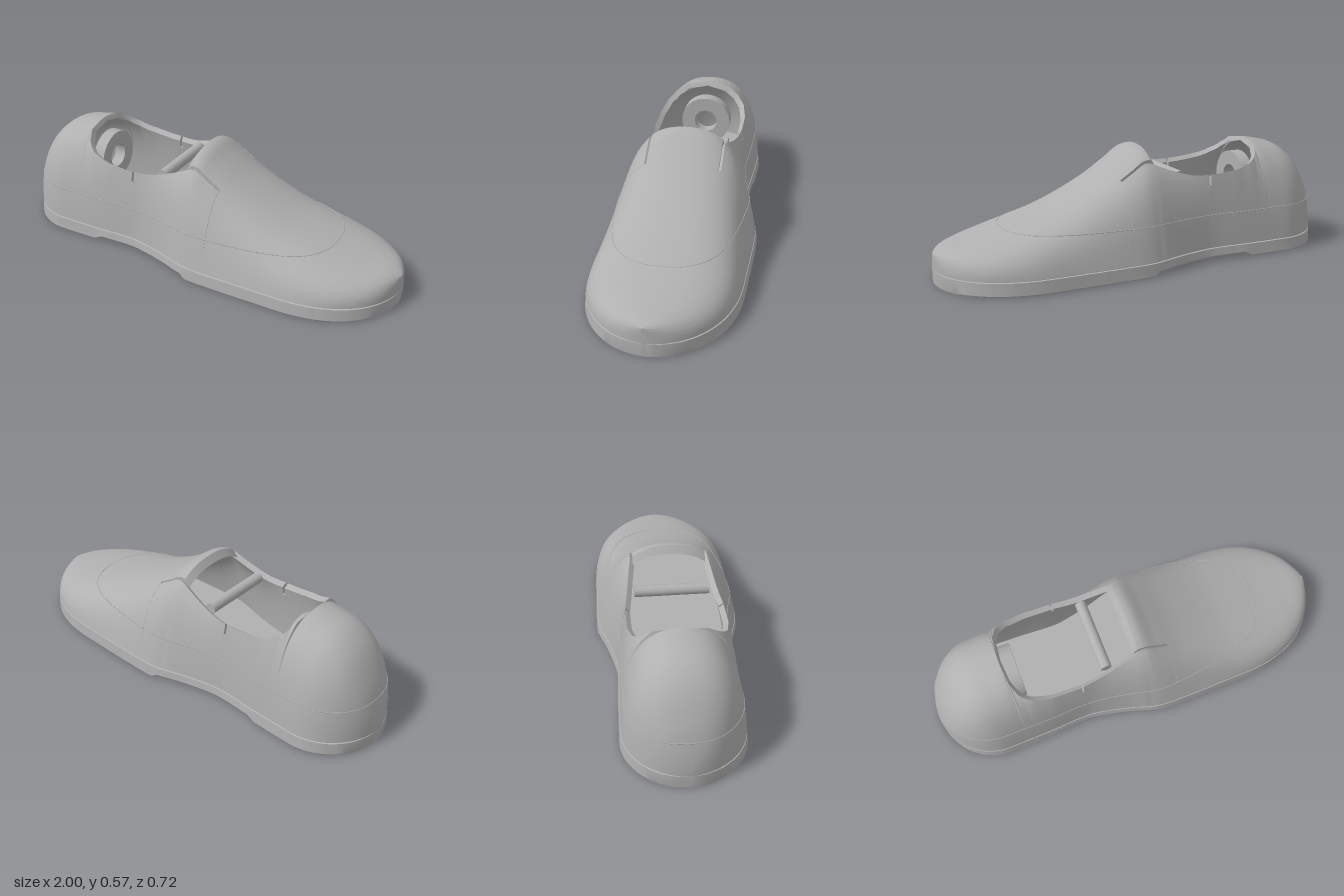
import * as THREE from 'three';
import { mergeGeometries, toCreasedNormals } from 'three/addons/utils/BufferGeometryUtils.js';

const BASE = 0.07; // height where the upper meets the sole

// Linear and smooth lookup in [x, value] tables
function linear(table, x) {
  let i = 0;
  while (i < table.length - 2 && x > table[i + 1][0]) i++;
  const [x0, a] = table[i], [x1, b] = table[i + 1];
  return a + (b - a) * THREE.MathUtils.clamp((x - x0) / (x1 - x0), 0, 1);
}
function smooth(table, x) {
  let i = 0;
  while (i < table.length - 2 && x > table[i + 1][0]) i++;
  const slope = (k) => {
    const p = table[Math.max(k - 1, 0)], q = table[Math.min(k + 1, table.length - 1)];
    return (q[1] - p[1]) / (q[0] - p[0]);
  };
  const [x0, a] = table[i], [x1, b] = table[i + 1], d = x1 - x0;
  const t = THREE.MathUtils.clamp((x - x0) / d, 0, 1), t2 = t * t, t3 = t2 * t;
  return (2 * t3 - 3 * t2 + 1) * a + (t3 - 2 * t2 + t) * d * slope(i)
    + (3 * t2 - 2 * t3) * b + (t3 - t2) * d * slope(i + 1);
}

// Shoe measurements along its length (heel at -1, toe at +1)
const WIDTH = [[-1, 0.285], [-0.72, 0.285], [-0.5, 0.28], [-0.3, 0.272], [-0.2, 0.288], [-0.1, 0.312], [0.05, 0.356], [0.2, 0.362], [0.5, 0.358], [1, 0.355]];
const CROWN = [[-1, 0.09], [-0.99, 0.16], [-0.97, 0.24], [-0.95, 0.3], [-0.9, 0.4], [-0.85, 0.465], [-0.78, 0.515], [-0.7, 0.537], [-0.62, 0.55],
  [0.01, 0.566], [0.1, 0.505], [0.2, 0.435], [0.3, 0.378], [0.4, 0.328], [0.5, 0.287], [0.7, 0.226], [0.85, 0.19], [0.95, 0.168], [1, 0.145]];
const RIM_Z = [[-1, 0], [-0.62, 0], [-0.612, 0.12], [-0.59, 0.17], [-0.55, 0.205], [-0.45, 0.225], [-0.3, 0.225], [-0.1, 0.2], [0, 0.185], [0.15, 0.185], [0.151, 0], [1, 0]];
const RIM_Y = [[-0.62, 0.55], [-0.6, 0.51], [-0.57, 0.477], [-0.5, 0.446], [-0.4, 0.43], [-0.3, 0.424], [-0.2, 0.43], [-0.1, 0.46], [0, 0.5]];
const SIDE = [[-1, 0.93], [-0.3, 0.92], [-0.1, 0.87], [0, 0.82], [0.3, 0.85], [0.8, 0.98], [1, 1]];
const ARCH = [[-1, 0], [-0.52, 0], [-0.48, 0.021], [0.03, 0.021], [0.06, 0], [1, 0]];

function halfWidth(x) {
  let f = 1;
  if (x < -0.72) f = Math.sqrt(Math.max(0, 1 - ((-0.72 - x) / 0.28) ** 2));
  if (x > 0.5) f = Math.sqrt(Math.max(0, 1 - ((x - 0.5) / 0.5) ** 2.4));
  return smooth(WIDTH, x) * f;
}

// Domed cross-section: t = 0 at the sole, t = 1 on the centre line
function dome(x, t) {
  const w = Math.max(0, halfWidth(x) - 0.008), h = smooth(CROWN, x), s = 1 - t;
  const b = [s * s * s, 3 * s * s * t, 3 * s * t * t, t * t * t];
  return {
    z: b[0] * w + b[1] * w * linear(SIDE, x) + b[2] * w * 0.72,
    y: b[0] * BASE + b[1] * (BASE + 0.62 * (h - BASE)) + (b[2] + b[3]) * h,
  };
}
function bisect(test) {
  let a = 0, b = 1;
  for (let i = 0; i < 30; i++) {
    const m = (a + b) / 2;
    if (test(m)) a = m; else b = m;
  }
  return (a + b) / 2;
}
const domeAtZ = (x, z) => (z <= 0 ? 1 : bisect((t) => dome(x, t).z > z));

// The same section cut off at the foot opening and fitted to the rim height
function section(x) {
  const end = domeAtZ(x, linear(RIM_Z, x));
  const open = x >= -0.62 && x <= 0;
  const k = open ? (smooth(RIM_Y, x) - BASE) / (dome(x, end).y - BASE) : 1;
  return (u) => {
    const p = dome(x, end * u);
    return { z: p.z, y: BASE + (p.y - BASE) * k };
  };
}

// Skin rows of [x, y, z] points, mirrored across z = 0
function loft(rows, crease = 0.6) {
  const n = rows[0].length;
  const sides = [1, -1].map((side) => {
    const position = [], index = [];
    rows.forEach((row) => row.forEach(([x, y, z]) => position.push(x, y, z * side)));
    for (let i = 0; i < rows.length - 1; i++) {
      for (let j = 0; j < n - 1; j++) {
        const a = i * n + j, b = a + n, c = b + 1, d = a + 1;
        if (side > 0) index.push(a, b, c, a, c, d);
        else index.push(a, c, b, a, d, c);
      }
    }
    const g = new THREE.BufferGeometry();
    g.setAttribute('position', new THREE.Float32BufferAttribute(position, 3));
    g.setIndex(index);
    return g;
  });
  const merged = mergeGeometries(sides);
  merged.computeVertexNormals();
  return toCreasedNormals(merged, crease);
}

function stations(extra) {
  const xs = [...extra];
  for (let i = 0; i <= 120; i++) xs.push(-Math.cos((Math.PI * i) / 120));
  return xs.sort((a, b) => a - b);
}

export function createModel() {
  const shoe = new THREE.Group();
  shoe.name = 'slipOnShoe';
  const grey = new THREE.MeshStandardMaterial({ color: 0xb0b0b0 });
  grey.name = 'plainGrey';
  const add = (name, geometry) => {
    const mesh = new THREE.Mesh(geometry, grey);
    mesh.name = name;
    shoe.add(mesh);
    return mesh;
  };

  // Upper: outer skin, rim and lining, with a small notch in each side of the rim
  const N = 20;
  const upperX = stations([-0.62, -0.616, -0.612, -0.605, -0.6, -0.59, -0.58, -0.57, -0.306, -0.305, -0.295, -0.294, 0, 0.15, 0.151]);
  add('upper', loft(upperX.map((x) => {
    const at = section(x), cut = Math.abs(x + 0.3) < 0.0055 ? 0.84 : 1;
    const outer = [], lining = [];
    for (let j = 0; j <= N; j++) {
      const u = (j / N) * cut, p = at(u);
      outer.push([x, p.y, p.z]);
      lining.unshift([x * 0.985, p.y - 0.018 * u, Math.max(0, p.z - 0.022)]);
    }
    return [...outer, ...lining];
  })));

  // Tongue: thick flap between the two slits
  const tongueRows = [];
  for (let i = 0; i <= 10; i++) {
    const x = -0.005 + i * 0.016, t0 = domeAtZ(x, 0.173);
    const outer = [], inner = [];
    for (let j = 0; j <= 12; j++) {
      const p = dome(x, t0 + ((1 - t0) * j) / 12);
      outer.push([x, p.y, p.z]);
      inner.push([x - 0.025, p.y - 0.035, p.z]);
    }
    const back = [...inner].reverse();
    if (i === 0) tongueRows.push([...inner, ...back, inner[0]]);
    tongueRows.push([...outer, ...back, outer[0]]);
  }
  add('tongue', loft(tongueRows));

  // Sole with a raised arch and a fine groove under the upper
  add('sole', loft(stations([-0.52, -0.48, 0.03, 0.06]).map((x) => {
    const w = halfWidth(x), y0 = linear(ARCH, x), inset = (d) => Math.max(0, w - d);
    return [[x, y0, 0], [x, y0, inset(0.004)], [x, y0 + 0.007, w], [x, 0.064, inset(0.006)],
      [x, 0.066, inset(0.014)], [x, 0.074, inset(0.014)], [x, 0.074, 0]];
  }), 0.4));

  // Insole
  add('insole', loft(stations([]).map((x) => {
    const w = Math.max(0, halfWidth(x) - 0.03);
    return [[x * 0.97, 0.074, w], [x * 0.97, 0.1, w], [x * 0.97, 0.1, 0]];
  })));

  // Seam running level around the upper and across the vamp
  const seam = [];
  for (const x of stations([-0.97, 0.68])) {
    const at = section(x);
    if (at(1).y < 0.231) continue;
    const p = at(bisect((u) => at(u).y < 0.23));
    seam.push(new THREE.Vector3(x, 0.23, p.z));
  }
  const mirrored = seam.map((p) => new THREE.Vector3(p.x, p.y, -p.z)).reverse();
  const seamPath = new THREE.CatmullRomCurve3([...seam, ...mirrored], true);
  add('seam', new THREE.TubeGeometry(seamPath, 300, 0.0025, 5, true));

  // Ring standing inside the heel
  const ringShape = new THREE.Shape().absarc(0, 0, 0.13, 0, Math.PI * 2);
  ringShape.holes.push(new THREE.Path().absarc(0, 0, 0.06, 0, Math.PI * 2, true));
  const ring = add('heelRing', new THREE.ExtrudeGeometry(ringShape, { depth: 0.06, bevelEnabled: false, curveSegments: 24 }));
  ring.rotation.y = Math.PI / 2;
  ring.position.set(-0.61, 0.35, 0);

  // Cross bar inside the opening
  const bar = add('crossBar', new THREE.CylinderGeometry(0.027, 0.027, 0.35, 24));
  bar.rotation.x = Math.PI / 2;
  bar.position.set(-0.162, 0.42, 0);

  return shoe;
}
